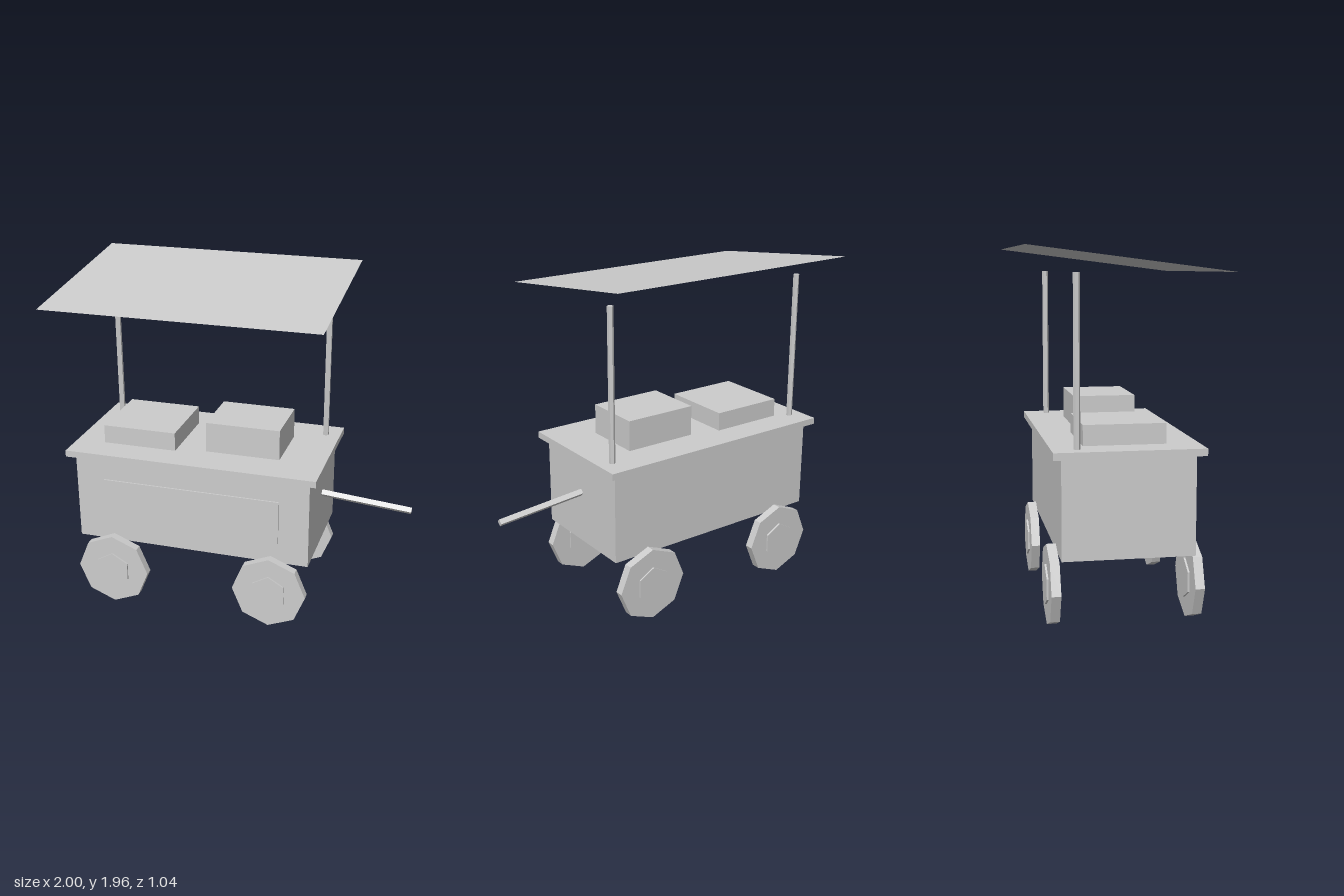
import * as THREE from 'three';

export function createModel() {
  const cart = new THREE.Group();
  cart.name = 'vendorCart';
  const grey = new THREE.MeshStandardMaterial({ color: 0xcccccc, flatShading: true });
  grey.name = 'lightGrey';
  const greySheet = grey.clone(); // same colour, seen from both sides
  greySheet.side = THREE.DoubleSide;

  function add(name, geometry, x, y, z, parent = cart, material = grey) {
    const mesh = new THREE.Mesh(geometry, material);
    mesh.name = name;
    mesh.position.set(x, y, z);
    parent.add(mesh);
    return mesh;
  }
  // Box given by its lower and upper limits
  function box(name, [x0, x1], [y0, y1], [z0, z1]) {
    return add(name, new THREE.BoxGeometry(x1 - x0, y1 - y0, z1 - z0),
      (x0 + x1) / 2, (y0 + y1) / 2, (z0 + z1) / 2);
  }

  // Body, counter and the goods boxes on it
  box('cabinet', [-0.915, 0.475], [0.396, 0.92], [-0.345, 0.345]);
  box('frontPanel', [-0.742, 0.302], [0.525, 0.786], [0.351, 0.36]);
  box('counter', [-0.958, 0.518], [0.92, 0.958], [-0.39, 0.39]);
  box('lowBox', [-0.785, -0.35], [0.958, 1.066], [-0.217, 0.217]);
  box('tallBox', [-0.176, 0.258], [0.958, 1.135], [-0.174, 0.174]);

  // Four wheels with hexagonal hubs
  for (const x of [-0.698, 0.258]) {
    for (const side of [1, -1]) {
      const wheel = new THREE.Group();
      wheel.name = 'wheel';
      wheel.position.set(x, 0.217, side * 0.372);
      wheel.rotation.x = Math.PI / 2;
      add('tyre', new THREE.CylinderGeometry(0.217, 0.217, 0.05, 8), 0, 0, 0, wheel);
      add('hub', new THREE.CylinderGeometry(0.108, 0.108, 0.07, 6), 0, 0, 0, wheel);
      cart.add(wheel);
    }
  }

  // Canopy posts
  for (const x of [-0.871, 0.433]) {
    add('post', new THREE.CylinderGeometry(0.0175, 0.0175, 0.873, 6), x, 1.394, -0.26);
  }

  // Thin canopy, sloping down towards the front
  const rise = 0.13, depth = 1.04;
  const canopy = add('canopy', new THREE.PlaneGeometry(1.56, Math.hypot(rise, depth)),
    -0.22, 1.895, 0, cart, greySheet);
  canopy.rotation.x = -Math.PI / 2 + Math.atan2(rise, depth);

  // Push handle, a square bar set on edge
  const start = new THREE.Vector3(0.45, 0.703, 0);
  const end = new THREE.Vector3(0.998, 0.657, 0);
  const dir = end.clone().sub(start);
  const mid = start.clone().add(end).multiplyScalar(0.5);
  const handle = add('handle', new THREE.CylinderGeometry(0.0215, 0.0215, dir.length(), 4), mid.x, mid.y, 0);
  handle.rotation.z = Math.atan2(dir.y, dir.x) - Math.PI / 2;

  return cart;
}
